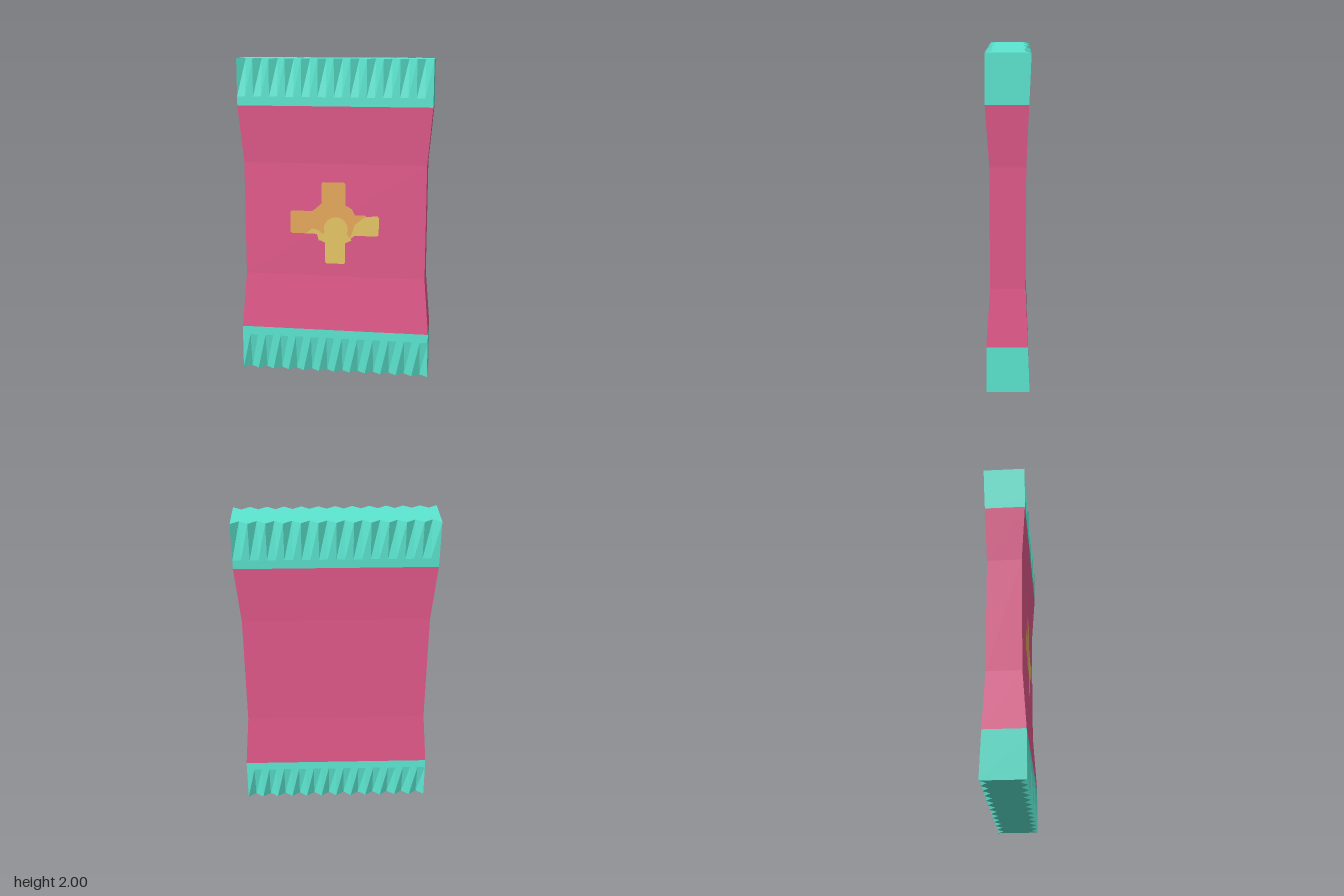
import * as THREE from 'three';

const mat = (name, color) => {
  const m = new THREE.MeshStandardMaterial({ color, flatShading: true });
  m.name = name;
  return m;
};

// A ring has a front row and a back row of points, both running from -x to +x.
function makeRing(y, halfWidth, front, back, segments = 1, notch = 0) {
  const rows = { front: [], back: [] };
  for (let i = 0; i <= segments; i++) {
    const x = -halfWidth + (2 * halfWidth * i) / segments;
    const cut = i % 2 ? notch : 0;
    rows.front.push([x, y, front - cut]);
    rows.back.push([x, y, back + cut]);
  }
  return rows;
}

// Skin rings listed from low to high and close both ends.
function loft(rings) {
  const pos = [];
  const quad = (a, b, c, d) => pos.push(...a, ...b, ...c, ...a, ...c, ...d);
  const loops = rings.map(r => [...r.front, ...r.back.slice().reverse()]);
  for (let k = 0; k < loops.length - 1; k++) {
    const lo = loops[k], hi = loops[k + 1], n = lo.length;
    for (let i = 0; i < n; i++) {
      const j = (i + 1) % n;
      quad(lo[i], lo[j], hi[j], hi[i]);
    }
  }
  const low = rings[0], top = rings[rings.length - 1];
  for (let i = 0; i < low.front.length - 1; i++) {
    quad(top.front[i], top.front[i + 1], top.back[i + 1], top.back[i]);
    quad(low.back[i], low.back[i + 1], low.front[i + 1], low.front[i]);
  }
  const g = new THREE.BufferGeometry();
  g.setAttribute('position', new THREE.Float32BufferAttribute(pos, 3));
  g.computeVertexNormals();
  return g;
}

// Flat printed patch from an outline of [x, y] points.
const patch = points =>
  new THREE.ShapeGeometry(new THREE.Shape(points.map(p => new THREE.Vector2(p[0], p[1]))));

export function createModel() {
  const model = new THREE.Group();
  const pink = mat('wrapper pink', 0xe35a8b);
  const teal = mat('seal teal', 0x5eead4);
  const amber = mat('print amber', 0xe8ab5d);
  const yellow = mat('print yellow', 0xe8c966);
  const add = (name, geometry, material, z = 0) => {
    const mesh = new THREE.Mesh(geometry, material);
    mesh.name = name;
    mesh.position.z = z;
    model.add(mesh);
  };

  // Waisted wrapper body
  add('wrapperBody', loft([
    makeRing(0.285, 0.6, 0.128, -0.117),
    makeRing(0.64, 0.57, 0.105, -0.103),
    makeRing(1.36, 0.57, 0.105, -0.103),
    makeRing(1.715, 0.6, 0.128, -0.117),
  ]), pink);

  // Crimped end seals: a plain band, then notches deepening toward the edge
  const sealRings = yAt => [
    makeRing(yAt(1.715), 0.6, 0.128, -0.117, 24),
    makeRing(yAt(1.77), 0.6, 0.128, -0.12, 24),
    makeRing(yAt(2), 0.6, 0.128, -0.129, 24, 0.039),
  ];
  add('topSeal', loft(sealRings(y => y)), teal);
  add('bottomSeal', loft(sealRings(y => 2 - y).reverse()), teal);

  // Amber print: upper arm, left arm, hub and the root of the right arm
  const amberPatches = {
    printUpperArm: [[-0.08, 1.08], [0.07, 1.08], [0.07, 1.235], [0.06, 1.245],
      [-0.07, 1.245], [-0.08, 1.235]],
    printLeftArm: [[-0.28, 0.925], [-0.27, 0.915], [-0.1, 0.915], [-0.1, 1.06],
      [-0.27, 1.06], [-0.28, 1.05]],
    printHub: [[-0.1, 0.87], [0.08, 0.87], [0.13, 0.91], [0.13, 1.04], [0.11, 1.08],
      [0.07, 1.1], [-0.08, 1.11], [-0.12, 1.075], [-0.14, 1.06], [-0.11, 0.915]],
    printRightArmRoot: [[0.12, 0.91], [0.2, 0.91], [0.2, 1.04], [0.12, 1.04]],
  };
  for (const [name, points] of Object.entries(amberPatches)) {
    add(name, patch(points), amber, 0.11);
  }

  // Yellow print: lower arm, right arm, left crescent and round centre
  const yellowPatches = {
    printLowerArm: [[-0.06, 0.735], [-0.05, 0.725], [0.06, 0.725], [0.07, 0.735],
      [0.07, 0.86], [0.11, 0.88], [0.07, 0.93], [-0.06, 0.93], [-0.1, 0.88], [-0.06, 0.86]],
    printRightArm: [[0.1, 0.89], [0.13, 0.91], [0.27, 0.91], [0.28, 0.92],
      [0.28, 1.03], [0.27, 1.04], [0.19, 1.03], [0.13, 0.98]],
    printLeftCrescent: [[-0.18, 0.915], [-0.11, 0.915], [-0.1, 0.88], [-0.06, 0.9],
      [-0.1, 0.94], [-0.14, 0.95]],
  };
  for (const [name, points] of Object.entries(yellowPatches)) {
    add(name, patch(points), yellow, 0.114);
  }
  const disc = new THREE.CircleGeometry(0.075, 32);
  disc.translate(0.01, 0.95, 0);
  add('printCentre', disc, yellow, 0.115);

  return model;
}
